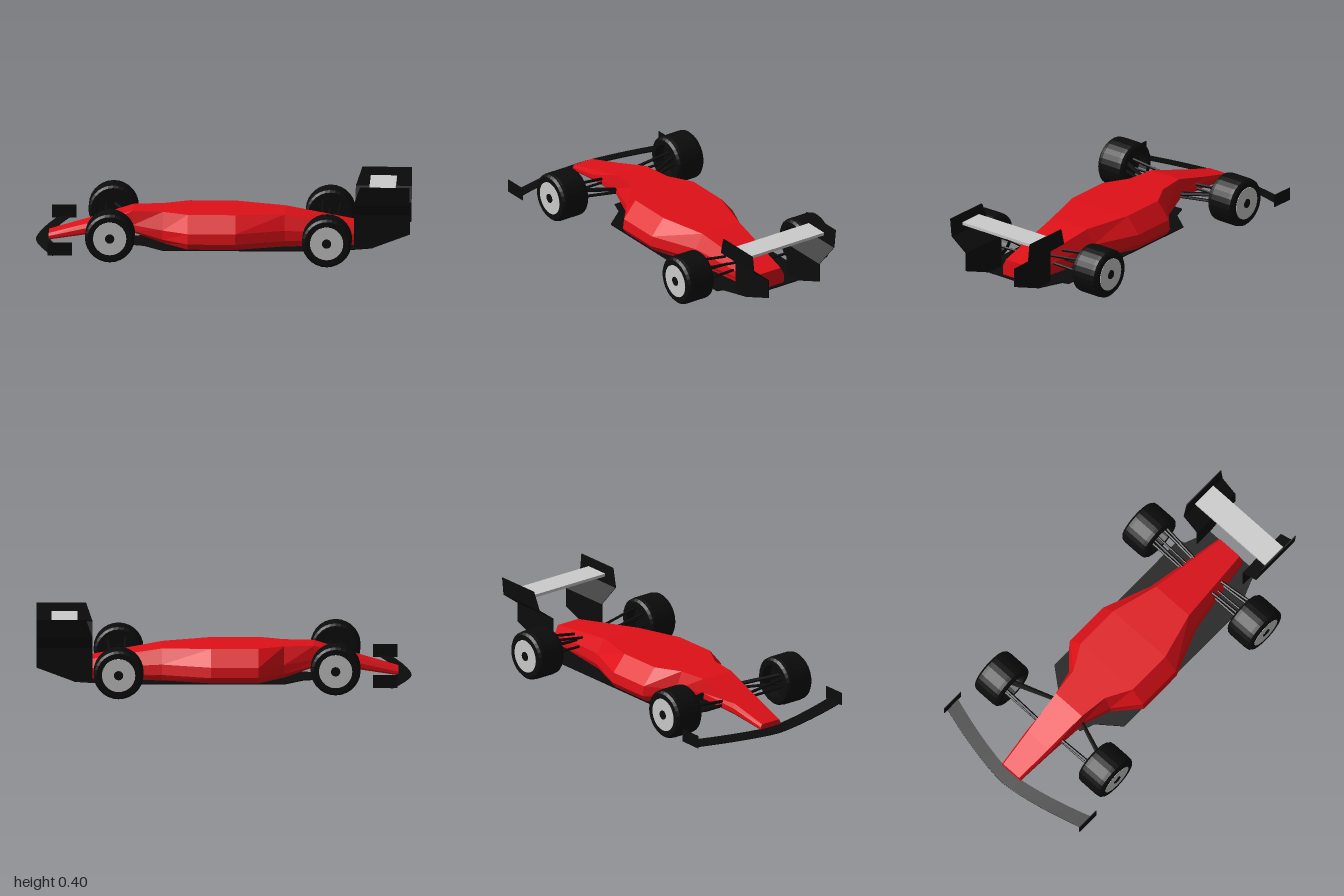
import * as THREE from 'three';

const mat = (color) => new THREE.MeshStandardMaterial({ color, flatShading: true, side: THREE.DoubleSide });
const red = mat(0xe01018), black = mat(0x0c0c0c), grey = mat(0xcccccc);

const V = (x, y, z) => new THREE.Vector3(x, y, z);

// Closed loft through rings of points, capped at both ends
function loft(rings) {
  const pos = [], n = rings[0].length, last = rings[rings.length - 1];
  const tri = (...p) => p.forEach((v) => pos.push(v.x, v.y, v.z));
  for (let i = 0; i < rings.length - 1; i++) {
    for (let k = 0; k < n; k++) {
      const m = (k + 1) % n;
      const a = rings[i][k], b = rings[i][m], c = rings[i + 1][m], d = rings[i + 1][k];
      tri(a, d, c);
      tri(a, c, b);
    }
  }
  for (let k = 1; k < n - 1; k++) {
    tri(rings[0][0], rings[0][k], rings[0][k + 1]);
    tri(last[0], last[k + 1], last[k]);
  }
  const g = new THREE.BufferGeometry();
  g.setAttribute('position', new THREE.Float32BufferAttribute(pos, 3));
  g.computeVertexNormals();
  return g;
}

function rod(from, to, r) {
  const dir = to.clone().sub(from);
  const g = new THREE.CylinderGeometry(r, r, dir.length(), 6);
  g.applyQuaternion(new THREE.Quaternion().setFromUnitVectors(V(0, 1, 0), dir.normalize()));
  g.translate((from.x + to.x) / 2, (from.y + to.y) / 2, (from.z + to.z) / 2);
  return g;
}

function createWheel(side, width) {
  const wheel = new THREE.Group();
  const part = (name, geo, material) => {
    const m = new THREE.Mesh(geo.rotateX(side * Math.PI / 2), material);
    m.name = name;
    wheel.add(m);
  };
  const h = width / 2;
  // Tyre with chamfered shoulders and a hollow inner side
  const profile = [[0, -h + 0.05], [0.085, -h + 0.05], [0.09, -h], [0.118, -h], [0.13, -h + 0.012], [0.133, -h + 0.03],
    [0.133, h - 0.03], [0.13, h - 0.012], [0.118, h], [0.09, h], [0.088, h - 0.008], [0, h - 0.008]];
  part('tyre', new THREE.LatheGeometry(profile.map(([r, y]) => new THREE.Vector2(r, y)), 28), black);
  part('rim', new THREE.CylinderGeometry(0.089, 0.089, 0.008, 28).translate(0, h - 0.003, 0), grey);
  part('hubNut', new THREE.CylinderGeometry(0.025, 0.025, 0.01, 16).translate(0, h - 0.001, 0), black);
  return wheel;
}

export function createModel() {
  const model = new THREE.Group();
  const add = (name, geo, material) => {
    const m = new THREE.Mesh(geo, material);
    m.name = name;
    model.add(m);
    return m;
  };

  // Body: [x, then half-width and height of sill, lower side, upper side, top edge]
  const stations = [
    [-0.93, 0.06, 0.07, 0.067, 0.077, 0.067, 0.09, 0.058, 0.105],
    [-0.72, 0.08, 0.105, 0.087, 0.115, 0.087, 0.14, 0.075, 0.163],
    [-0.48, 0.095, 0.12, 0.107, 0.13, 0.105, 0.16, 0.095, 0.235],
    [-0.32, 0.125, 0.068, 0.15, 0.09, 0.15, 0.14, 0.115, 0.235],
    [-0.185, 0.25, 0.058, 0.272, 0.09, 0.265, 0.145, 0.19, 0.235],
    [0.07, 0.25, 0.058, 0.272, 0.09, 0.265, 0.145, 0.19, 0.234],
    [0.33, 0.155, 0.058, 0.17, 0.09, 0.163, 0.145, 0.12, 0.225],
    [0.78, 0.09, 0.058, 0.092, 0.085, 0.09, 0.11, 0.07, 0.15],
  ];
  add('body', loft(stations.map(([x, ...s]) => {
    const half = [0, 2, 4, 6].map((i) => V(x, s[i + 1], s[i]));
    return [...half, ...half.map((p) => V(p.x, p.y, -p.z)).reverse()];
  })), red);

  // Flat floor
  const edge = [[-0.5, 0.1], [-0.42, 0.13], [-0.32, 0.255], [0.65, 0.255], [0.66, 0.22], [0.71, 0.2], [0.8, 0.165]];
  const outline = [...edge, ...edge.map(([x, z]) => [x, -z]).reverse()];
  const floor = new THREE.ExtrudeGeometry(new THREE.Shape(outline.map((p) => new THREE.Vector2(...p))),
    { depth: 0.006, bevelEnabled: false });
  add('floor', floor.rotateX(Math.PI / 2).translate(0, 0.058, 0), black);

  // Swept front wing
  const wing = [];
  for (let i = -8; i <= 8; i++) {
    const t = Math.abs(i) / 8, z = (i / 8) * 0.493;
    const lead = -1 + 0.1 * Math.pow(t, 1.5), trail = lead + 0.07 + 0.01 * t, y = 0.06 + 0.012 * t;
    wing.push([V(lead, y, z), V(lead, y + 0.004, z), V(trail, y + 0.016, z), V(trail, y + 0.01, z)]);
  }
  add('frontWing', loft(wing), black);

  // Rear wing
  add('rearWing', new THREE.BoxGeometry(0.14, 0.016, 0.51).translate(0.85, 0.355, 0), grey);

  for (const s of [1, -1]) {
    add('frontWingEndplate', new THREE.BoxGeometry(0.13, 0.07, 0.004).translate(-0.86, 0.11, s * 0.493), black);

    // Folded rear endplate rows: [y, z, front x, back x]
    const rows = [[0.055, 0.165, 0.7, 0.8], [0.13, 0.165, 0.7, 1], [0.235, 0.165, 0.7, 1],
      [0.305, 0.26, 0.7, 1], [0.405, 0.27, 0.735, 1]];
    add('rearWingEndplate', loft(rows.map(([y, z, x0, x1]) =>
      [V(x0, y, s * z), V(x1, y, s * z), V(x1, y, s * (z + 0.005)), V(x0, y, s * (z + 0.005))])), black);

    // Wheels
    for (const [name, x, y, z] of [['frontWheel', -0.595, 0.158, 0.378], ['rearWheel', 0.562, 0.138, 0.384]]) {
      const wheel = createWheel(s, 0.168);
      wheel.name = name;
      wheel.position.set(x, y, s * z - 0.004);
      model.add(wheel);
    }

    // Suspension arms: [from x, y, z, to x, y, z, radius]
    const arms = [
      [-0.63, 0.15, 0.07, -0.63, 0.18, 0.35, 0.009], [-0.48, 0.15, 0.09, -0.58, 0.18, 0.35, 0.011],
      [-0.63, 0.13, 0.07, -0.63, 0.13, 0.35, 0.008], [-0.48, 0.135, 0.09, -0.58, 0.13, 0.35, 0.008],
      [0.525, 0.165, 0.1, 0.525, 0.205, 0.35, 0.008], [0.605, 0.16, 0.1, 0.622, 0.2, 0.35, 0.008],
      [0.525, 0.12, 0.1, 0.525, 0.125, 0.35, 0.008], [0.605, 0.12, 0.1, 0.622, 0.125, 0.35, 0.008],
      [0.56, 0.14, 0.1, 0.56, 0.165, 0.35, 0.006],
    ];
    for (const [x0, y0, z0, x1, y1, z1, r] of arms) {
      add('suspensionArm', rod(V(x0, y0, s * z0), V(x1, y1, s * z1), r), black);
    }
  }
  return model;
}
